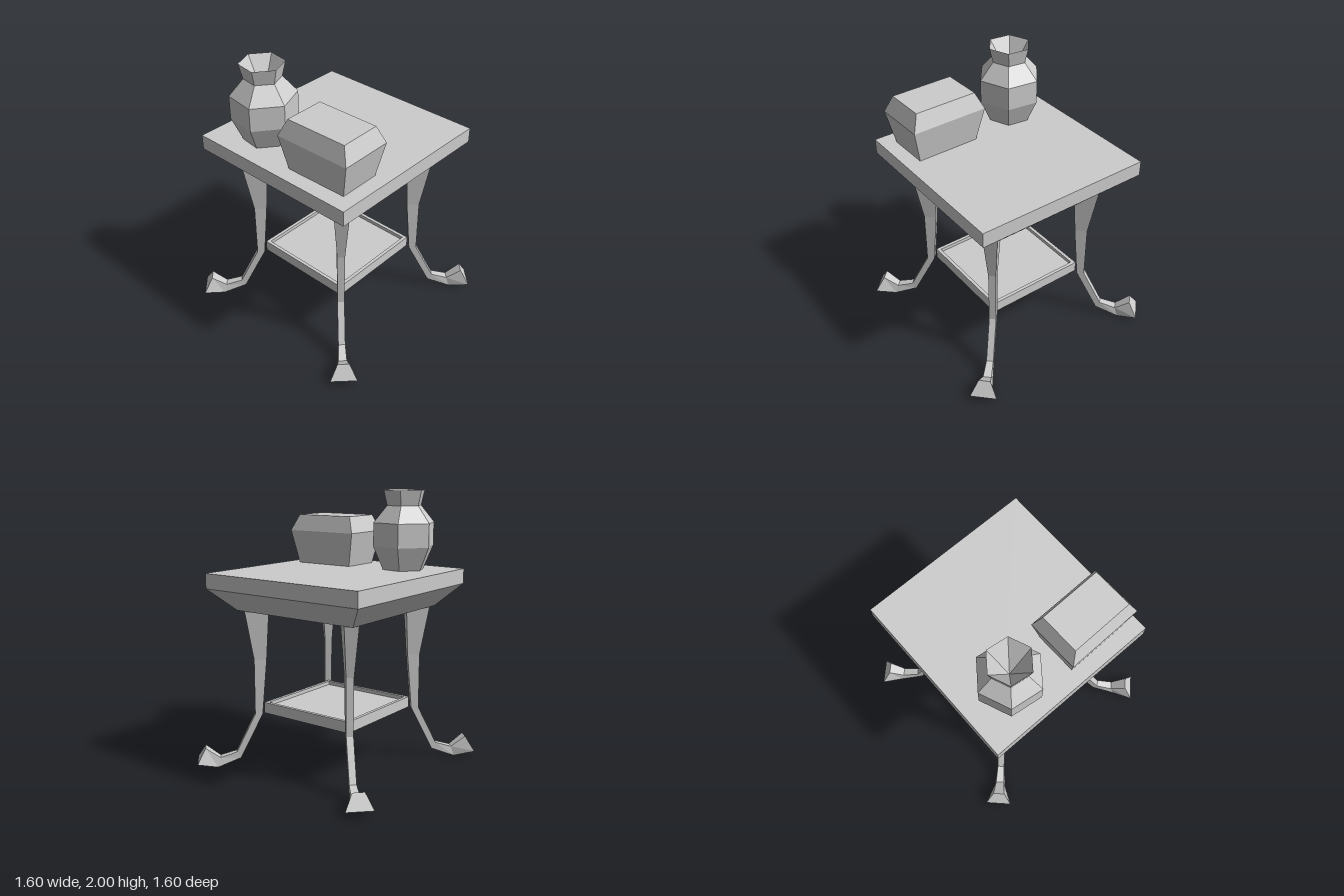
import * as THREE from 'three';

const grey = new THREE.MeshStandardMaterial({ color: 0xcccccc });
grey.name = 'plain grey';

// Faceted mesh from any geometry
function facet(name, geometry) {
  const g = geometry.index ? geometry.toNonIndexed() : geometry;
  g.computeVertexNormals();
  const mesh = new THREE.Mesh(g, grey);
  mesh.name = name;
  return mesh;
}

// Joins four-cornered rings (counterclockwise seen from the far end) and caps both ends
function loft(rings) {
  const pos = [];
  const quad = (a, b, c, d) => pos.push(...a, ...b, ...c, ...a, ...c, ...d);
  for (let k = 0; k < rings.length - 1; k++) {
    for (let i = 0; i < 4; i++) {
      const j = (i + 1) % 4;
      quad(rings[k][i], rings[k][j], rings[k + 1][j], rings[k + 1][i]);
    }
  }
  quad(...[...rings[0]].reverse());
  quad(...rings[rings.length - 1]);
  const g = new THREE.BufferGeometry();
  g.setAttribute('position', new THREE.Float32BufferAttribute(pos, 3));
  return g;
}

// Level rectangle with half sizes x and z
const rect = (y, x, z) => [[-x, y, z], [x, y, z], [x, y, -z], [-x, y, -z]];

function squarePath(PathType, h) {
  return new PathType([[-h, -h], [h, -h], [h, h], [-h, h]].map(p => new THREE.Vector2(...p)));
}

export function createModel() {
  const model = new THREE.Group();
  model.name = 'side table with vase and box';

  const table = new THREE.Group();
  table.name = 'table';
  table.position.x = -0.005;
  model.add(table);

  // Top with a tapered underside
  table.add(facet('tableTop', loft([
    rect(1.16, 0.51, 0.51), rect(1.32, 0.66, 0.665), rect(1.43, 0.66, 0.665),
  ])));

  // Curved legs with flared feet: [outer reach, y, half width], [inner reach, y, half width]
  const sections = [
    [[0.672, 1.16, 0.05], [0.5, 1.16, 0.05]],
    [[0.61, 0.8, 0.027], [0.52, 0.8, 0.027]],
    [[0.61, 0.39, 0.025], [0.555, 0.39, 0.025]],
    [[0.75, 0.105, 0.025], [0.72, 0.06, 0.025]],
    [[0.87, 0.07, 0.03], [0.89, 0, 0.042]],
    [[0.976, 0.15, 0.042], [1.036, 0.045, 0.095]],
  ];
  const legRings = sections.map(([o, n]) => [
    [-n[2], n[1], n[0]], [n[2], n[1], n[0]], [o[2], o[1], o[0]], [-o[2], o[1], o[0]],
  ]);
  const names = ['frontLeftLeg', 'backLeftLeg', 'backRightLeg', 'frontRightLeg'];
  names.forEach((name, k) => {
    const leg = facet(name, loft(legRings));
    leg.rotation.y = Math.PI / 4 + k * Math.PI / 2;
    table.add(leg);
  });

  // Low shelf: rim with a recessed panel
  const rimShape = squarePath(THREE.Shape, 0.382);
  rimShape.holes.push(squarePath(THREE.Path, 0.357));
  const rim = facet('shelfRim', new THREE.ExtrudeGeometry(rimShape, { depth: 0.08, bevelEnabled: false }));
  rim.rotation.x = -Math.PI / 2;
  rim.position.y = 0.39;
  const panel = facet('shelfPanel', new THREE.BoxGeometry(0.72, 0.015, 0.72));
  panel.position.y = 0.435;
  table.add(rim, panel);

  // Six-sided vase with a hollow mouth
  const profile = [
    [0, 1.43], [0.157, 1.43], [0.232, 1.6], [0.232, 1.77], [0.13, 1.89], [0.157, 2], [0, 1.75],
  ].map(p => new THREE.Vector2(...p));
  const vase = facet('vase', new THREE.LatheGeometry(profile, 6, 0.39));
  vase.position.set(-0.32, 0, 0.38);
  model.add(vase);

  // Box with a sloped lid
  const box = facet('box', loft([
    rect(1.43, 0.235, 0.155), rect(1.68, 0.287, 0.195), rect(1.8, 0.235, 0.15),
  ]));
  box.position.set(0.31, 0, 0.395);
  box.rotation.y = 0.017;
  model.add(box);

  return model;
}
